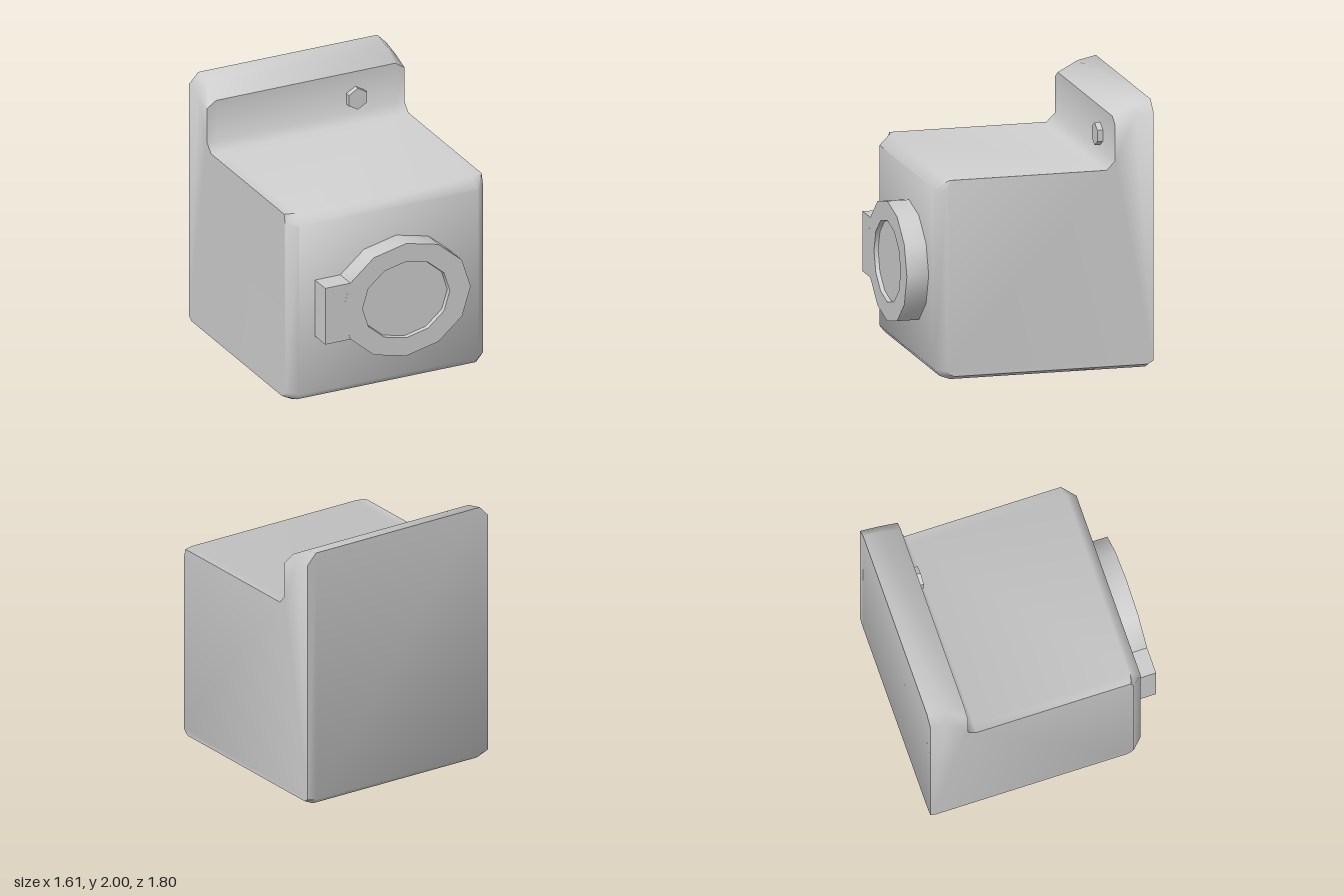
import * as THREE from 'three';
import { toCreasedNormals } from 'three/addons/utils/BufferGeometryUtils.js';

const CREASE = THREE.MathUtils.degToRad(58);

// Side profile as [z, y], from the bottom front edge up, over the top and down the back.
const MIDDLE = [
  [0.62, 0], [0.7, 0.03], [0.74, 0.08], [0.74, 1.43], [0.665, 1.505], [-0.545, 1.505],
  [-0.61, 1.57], [-0.61, 1.89], [-0.76, 1.97], [-0.9, 2], [-0.9, 0.04], [-0.86, 0],
];
// The same profile pulled in at the two sides, which bevels the edges.
const SIDE = [
  [0.61, 0.035], [0.64, 0.05], [0.665, 0.08], [0.665, 1.43], [0.645, 1.505], [-0.545, 1.505],
  [-0.61, 1.57], [-0.61, 1.84], [-0.76, 1.89], [-0.9, 1.92], [-0.9, 0.06], [-0.86, 0.035],
];

// Skin the profile sections along x and close both sides.
function cabinetGeometry() {
  const sections = [[-0.805, SIDE], [-0.73, MIDDLE], [0.73, MIDDLE], [0.805, SIDE]];
  const n = MIDDLE.length;
  const positions = [];
  sections.forEach(([x, profile]) => profile.forEach(([z, y]) => positions.push(x, y, z)));
  const index = [];
  for (let s = 0; s < sections.length - 1; s++) {
    for (let i = 0; i < n; i++) {
      const a = s * n + i, b = s * n + (i + 1) % n;
      index.push(a, a + n, b + n, a, b + n, b);
    }
  }
  const contour = SIDE.map(([z, y]) => new THREE.Vector2(z, y));
  const last = (sections.length - 1) * n;
  for (const [a, b, c] of THREE.ShapeUtils.triangulateShape(contour, [])) {
    index.push(a, b, c, last + a, last + c, last + b);
  }
  const geometry = new THREE.BufferGeometry();
  geometry.setAttribute('position', new THREE.Float32BufferAttribute(positions, 3));
  geometry.setIndex(index);
  return toCreasedNormals(geometry, CREASE);
}

export function createModel() {
  const group = new THREE.Group();
  const material = new THREE.MeshStandardMaterial({ color: 0xcccccc });
  const add = (name, geometry) => {
    const mesh = new THREE.Mesh(geometry, material);
    mesh.name = name;
    group.add(mesh);
    return mesh;
  };

  // Body with raised back panel
  add('cabinet', cabinetGeometry());

  // Twelve-sided oval door: outer wall, flat rim, shallow recess and window
  const profile = [[0.45, 0], [0.45, 0.175], [0.305, 0.175], [0.3, 0.145], [0, 0.145]];
  const door = new THREE.LatheGeometry(profile.map(([r, h]) => new THREE.Vector2(r, h)), 12);
  door.rotateX(Math.PI / 2).scale(0.525 / 0.45, 1, 1).translate(0.06, 0.75, 0.73);
  add('door', toCreasedNormals(door, CREASE));

  // Handle fitted against the side of the door
  const grip = new THREE.Shape([
    [-0.6, 0.525], [-0.395, 0.525], [-0.465, 0.75], [-0.395, 0.975], [-0.6, 0.975],
  ].map(([x, y]) => new THREE.Vector2(x, y)));
  const handle = new THREE.ExtrudeGeometry(grip, { depth: 0.175, bevelEnabled: false });
  add('doorHandle', handle.translate(0, 0, 0.73));

  // Hexagonal knob on the back panel
  const knob = new THREE.CylinderGeometry(0.085, 0.085, 0.055, 6).rotateX(Math.PI / 2);
  add('controlKnob', toCreasedNormals(knob, 0.5)).position.set(0.405, 1.687, -0.595);

  return group;
}
